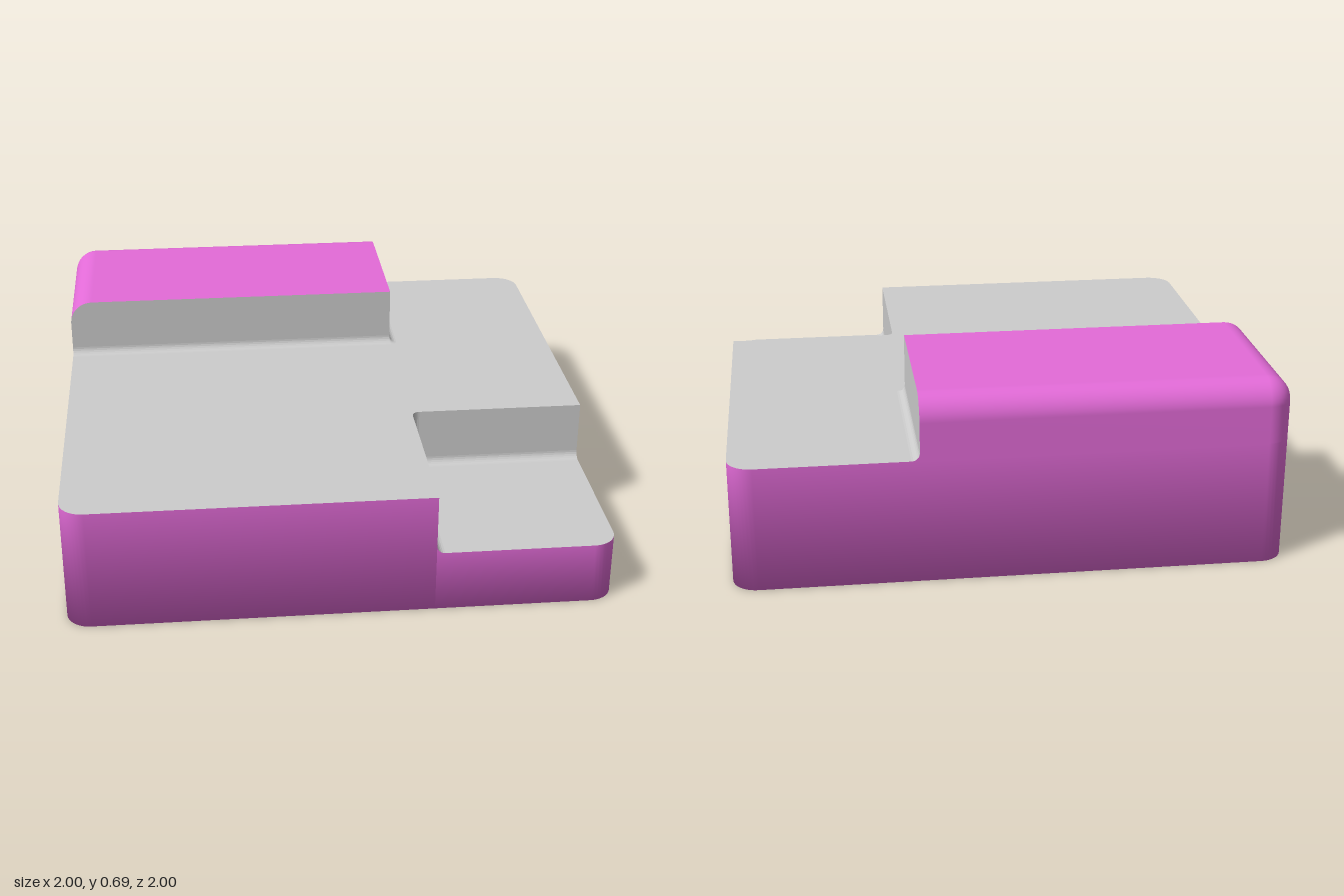
import * as THREE from 'three';
import { mergeVertices } from 'three/addons/utils/BufferGeometryUtils.js';

const LOW = 0.235, DECK = 0.465, TOP = 0.695; // notch floor, deck and raised block heights
const B = 0.333;  // inner edges of block and notch
const R = 0.09;   // outer rounding
const F = 0.03;   // small inner fillet
const N = 10;     // segments per rounded corner

// Points [x, z] of one rounded outer corner, running back > left > front > right
function corner(sx, sz, start, r = R) {
  return Array.from({ length: N + 1 }, (_, i) => {
    const a = start - (i / N) * Math.PI / 2;
    return [sx * (1 - R) + r * Math.cos(a), sz * (1 - R) + r * Math.sin(a)];
  });
}
const Q = Math.PI / 2;
const backLeft = (r) => corner(-1, -1, -Q, r);
const frontLeft = corner(-1, 1, 2 * Q), frontRight = corner(1, 1, Q), backRight = corner(1, -1, 0);

// Smooth skin through rings of [x, y, z] points
function skin(rings) {
  const n = rings[0].length, index = [];
  for (let j = 0; j < rings.length - 1; j++) {
    for (let i = 0; i < n - 1; i++) {
      const a = j * n + i, b = a + 1, c = b + n, d = a + n;
      index.push(a, b, d, b, c, d);
    }
  }
  const geo = new THREE.BufferGeometry();
  geo.setAttribute('position', new THREE.Float32BufferAttribute(rings.flat(2), 3));
  geo.setIndex(index);
  const merged = mergeVertices(geo);
  merged.computeVertexNormals();
  return merged;
}

// Horizontal face from [x, z] points
function flat(points, y) {
  const shape = new THREE.Shape(points.map(([x, z]) => new THREE.Vector2(x, -z)));
  return new THREE.ShapeGeometry(shape).rotateX(-Q).translate(0, y, 0);
}

// Concave quarter-round profile
const filletArc = Array.from({ length: 7 }, (_, i) => {
  const a = (i / 6) * Q;
  return new THREE.Vector2(F - F * Math.sin(a), F - F * Math.cos(a));
});

export function createModel() {
  const group = new THREE.Group();
  const grey = new THREE.MeshStandardMaterial({ color: 0xcccccc });
  const pink = new THREE.MeshStandardMaterial({ color: 0xe36bd8 });
  const add = (name, geo, mat) => {
    const mesh = new THREE.Mesh(geo, mat);
    mesh.name = name;
    group.add(mesh);
    return mesh;
  };
  const at = (pts, y) => pts.map(([x, z]) => [x, y, z]);

  // Outer sides and underside, dipping at the notch
  const rim = [
    ...at(backLeft(), DECK), ...at(frontLeft, DECK), [B, DECK, 1],
    [B, LOW, 1], ...at(frontRight, LOW), [1, LOW, B],
    [1, DECK, B], ...at(backRight, DECK),
  ];
  rim.push(rim[0]);
  const foot = rim.map(([x, , z]) => [x, 0, z]);
  add('baseShell', skin([foot.map(() => [0, 0, 0]), foot, rim]), pink);

  // Raised block: outer walls rolling over into the top
  const blockRing = (inset, y) => at(
    [[B, -1 + inset], ...backLeft(R - inset), [-1 + inset, -B]], y);
  const blockRings = [blockRing(0, DECK)];
  for (let i = 0; i <= N; i++) {
    const a = (i / N) * Q;
    blockRings.push(blockRing(R * (1 - Math.cos(a)), TOP - R + R * Math.sin(a)));
  }
  blockRings.push(blockRings[0].map(() => [B, TOP, -B]));
  add('raisedBlockShell', skin(blockRings), pink);

  // Raised block: inner walls, rounded at the outer end s
  const blockWall = (s, inner) => {
    const pts = [new THREE.Vector2(inner, DECK), new THREE.Vector2(s, DECK)];
    for (let i = 0; i <= N; i++) {
      const a = (i / N) * Q;
      pts.push(new THREE.Vector2(s * (1 - R + R * Math.cos(a)), TOP - R + R * Math.sin(a)));
    }
    pts.push(new THREE.Vector2(inner, TOP));
    return new THREE.ShapeGeometry(new THREE.Shape(pts));
  };
  add('blockFrontWall', blockWall(-1, B).translate(0, 0, -B), grey);
  add('blockSideWall', blockWall(1, B).rotateY(Q).translate(B, 0, 0), grey);

  // Deck and notch
  add('deck', flat([
    [-1, -B], ...frontLeft, [B, 1], [B, B], [1, B], ...backRight, [B, -1], [B, -B],
  ], DECK), grey);
  add('notchFloor', flat([[B, B], [B, 1], ...frontRight, [1, B]], LOW), grey);
  const notchWall = () => new THREE.PlaneGeometry(1 - B, DECK - LOW);
  const mid = (1 + B) / 2, midY = (DECK + LOW) / 2;
  add('notchBackWall', notchWall().translate(mid, midY, B), grey);
  add('notchSideWall', notchWall().rotateY(Q).translate(B, midY, mid), grey);

  // Fillets where walls meet floors
  const fillet = (name, length, pos, rot, capMat = pink) => {
    const shape = new THREE.Shape([new THREE.Vector2(0, 0), ...filletArc]);
    const geo = new THREE.ExtrudeGeometry(shape, { depth: length, bevelEnabled: false });
    const mesh = add(name, geo, [capMat, grey]);
    mesh.position.set(...pos);
    mesh.rotation.set(...rot);
  };
  fillet('blockSideFillet', 1 - B, [B, DECK, -1], [0, 0, 0]);
  fillet('blockFrontFillet', 1 + B, [B, DECK, -B], [0, -Q, 0]);
  fillet('notchSideFillet', 1 - B, [B, LOW, B], [0, 0, 0]);
  fillet('notchBackFillet', 1 - B, [1, LOW, B], [0, -Q, 0]);
  fillet('notchCornerFillet', DECK - LOW, [B, DECK, B], [Q, 0, 0], grey);
  add('blockCornerFillet', new THREE.LatheGeometry(filletArc, 8, 0, Q), grey).position.set(B, DECK, -B);

  return group;
}
